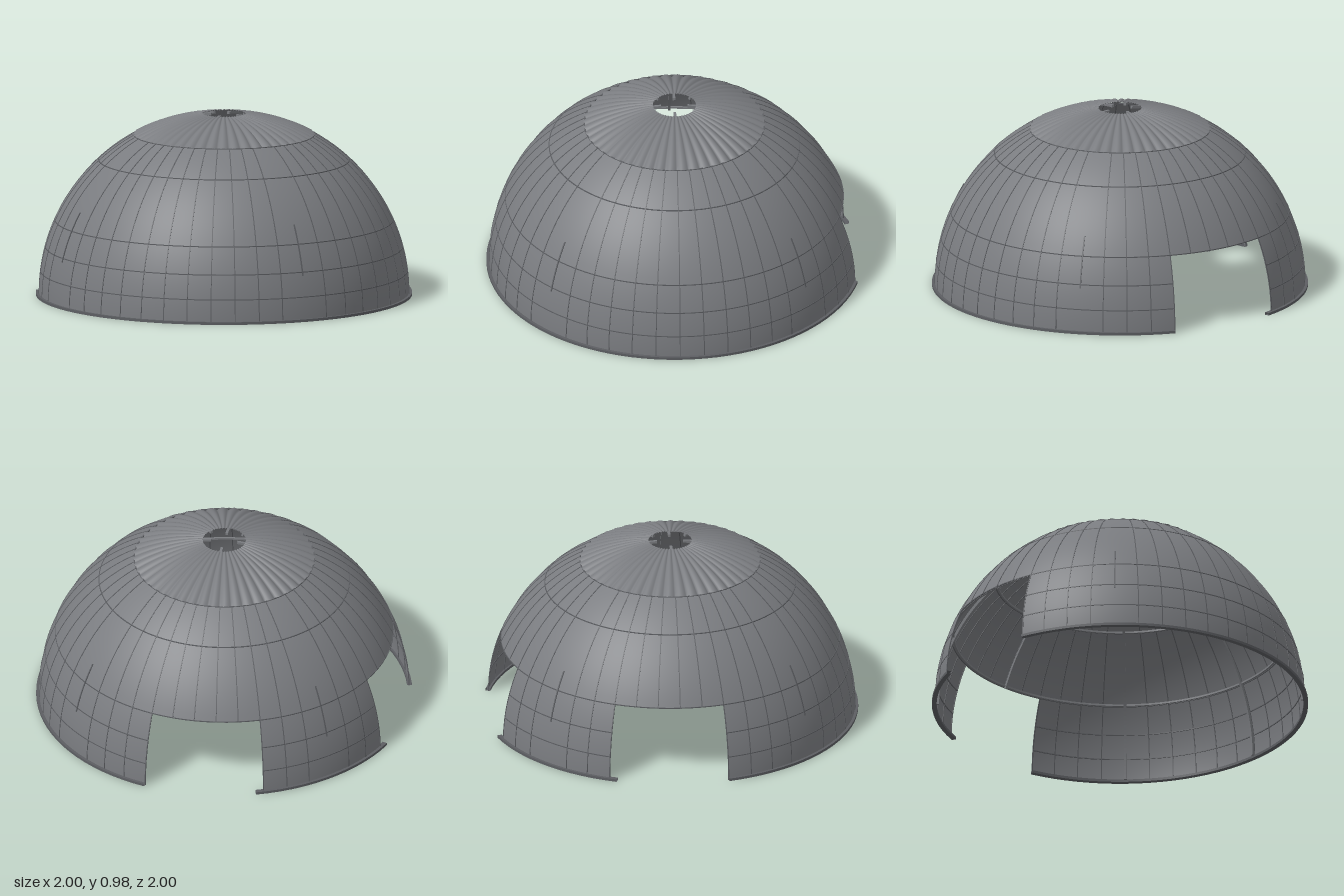
import * as THREE from 'three';
import { mergeGeometries } from 'three/addons/utils/BufferGeometryUtils.js';

const R = 0.985;            // shell radius
const BAND = 0.4;           // height of the lower band with the two openings
const CAP = 0.86;           // height where the fluted cap starts
const HOLE = 0.115;         // radius of the open crown
const rad = THREE.MathUtils.degToRad;
const elev = (y) => Math.asin(y / R);

// Azimuth spans (from +z, degrees) of the lower walls; the gaps are the openings
const FRONT = [-120, 120];
const BACK = [157.5, 202.5];

export function createModel() {
  const group = new THREE.Group();
  const panel = new THREE.MeshStandardMaterial({ color: 0x7a7c80, side: THREE.DoubleSide });
  panel.name = 'grey panel';
  const seam = new THREE.MeshStandardMaterial({ color: 0x5c5e62, side: THREE.DoubleSide });
  seam.name = 'dark grey seam';

  const add = (name, geometry, material) => {
    const mesh = new THREE.Mesh(geometry, material);
    mesh.name = name;
    group.add(mesh);
  };

  // Turned surface between two azimuths
  const turn = (points, [a, b]) => new THREE.LatheGeometry(
    points, Math.max(8, Math.round((b - a) / 3.75)), rad(a), rad(b - a));

  // Spherical zone between two heights
  const zone = (y0, y1, span) => {
    const points = [];
    for (let i = 0; i <= 16; i++) {
      const e = THREE.MathUtils.lerp(elev(y0), elev(y1), i / 16);
      points.push(new THREE.Vector2(R * Math.cos(e), R * Math.sin(e)));
    }
    return turn(points, span);
  };

  // Closed rectangular section turned around the axis
  const hoop = (r0, r1, y0, y1, span) => turn(
    [[r0, y0], [r1, y0], [r1, y0], [r1, y1], [r1, y1], [r0, y1], [r0, y1], [r0, y0]]
      .map(([x, y]) => new THREE.Vector2(x, y)), span);

  // Upright curved strip following the dome at one azimuth
  const arc = (azimuth, e0, e1, r0, r1, width) => {
    const shape = new THREE.Shape();
    shape.absarc(0, 0, r1, e0, e1, false);
    shape.absarc(0, 0, r0, e1, e0, true);
    const g = new THREE.ExtrudeGeometry(shape, { depth: width, bevelEnabled: false, curveSegments: 28 });
    g.translate(0, 0, -width / 2);
    g.rotateY(rad(azimuth) - Math.PI / 2);
    return g;
  };

  // Shell
  add('upperShell', zone(BAND, CAP, [0, 360]), panel);
  add('frontWall', zone(0, BAND, FRONT), panel);
  add('backWall', zone(0, BAND, BACK), panel);

  // Fluted cap: a grid of rings whose radius swells between the seams
  const flutes = 48, steps = 8, rows = 12;
  const cap = new THREE.PlaneGeometry(1, 1, flutes * steps, rows);
  const pos = cap.attributes.position;
  const e0 = elev(CAP), e1 = Math.acos(HOLE / R);
  for (let i = 0; i < pos.count; i++) {
    const u = pos.getX(i) + 0.5, v = pos.getY(i) + 0.5;
    const a = u * Math.PI * 2, e = THREE.MathUtils.lerp(e0, e1, v);
    const swell = Math.abs(Math.sin(a * flutes / 2));
    const r = R - 0.008 + 0.014 * swell * (1 - 0.65 * v);
    pos.setXYZ(i, r * Math.cos(e) * Math.sin(a), r * Math.sin(e), r * Math.cos(e) * Math.cos(a));
  }
  cap.computeVertexNormals();
  add('flutedCap', cap, panel);

  // Base rim, in two pieces
  add('frontRim', hoop(0.975, 1, 0, 0.014, FRONT), seam);
  add('backRim', hoop(0.975, 1, 0, 0.014, [155, 205]), seam);

  // Upright seams every 7.5 degrees, cut short above the openings
  const seams = [], ribs = [];
  const overOpening = (a) => {
    const fromBack = Math.abs(a - 180);
    return fromBack > 23 && fromBack < 59.5;
  };
  for (let i = 0; i < 48; i++) {
    const a = i * 7.5;
    if (a % 90 === 0) seams.push(arc(a, elev(0.24), elev(0.5), 0.98, 0.989, 0.007));
    else seams.push(arc(a, elev(overOpening(a) ? BAND : 0), elev(CAP), 0.982, 0.987, 0.005));
  }
  add('uprightSeams', mergeGeometries(seams), seam);

  // Level seams
  const levels = [];
  const level = (y, span) => {
    const r = Math.sqrt(R * R - y * y);
    levels.push(hoop(r - 0.004, r + 0.002, y - 0.0025, y + 0.0025, span));
  };
  for (const y of [0.13, 0.26]) [FRONT, BACK].forEach((span) => level(y, span));
  for (const y of [BAND + 0.003, 0.725, CAP]) level(y, [0, 360]);
  add('levelSeams', mergeGeometries(levels), seam);

  // Eight inner ribs; the diagonal ones reach into the crown hole
  for (let a = 0; a < 360; a += 45) {
    const top = Math.acos((a % 90 ? 0.07 : HOLE) / 0.97);
    ribs.push(arc(a, elev(overOpening(a) ? BAND : 0.012), top, 0.962, 0.975, 0.014));
  }
  add('innerRibs', mergeGeometries(ribs), panel);

  // Inner hoops at the two main joints
  for (const y of [BAND + 0.006, 0.725]) {
    const r = Math.sqrt(R * R - y * y);
    add('innerHoop', hoop(r - 0.016, r - 0.006, y - 0.005, y + 0.005, [0, 360]), panel);
  }

  return group;
}
